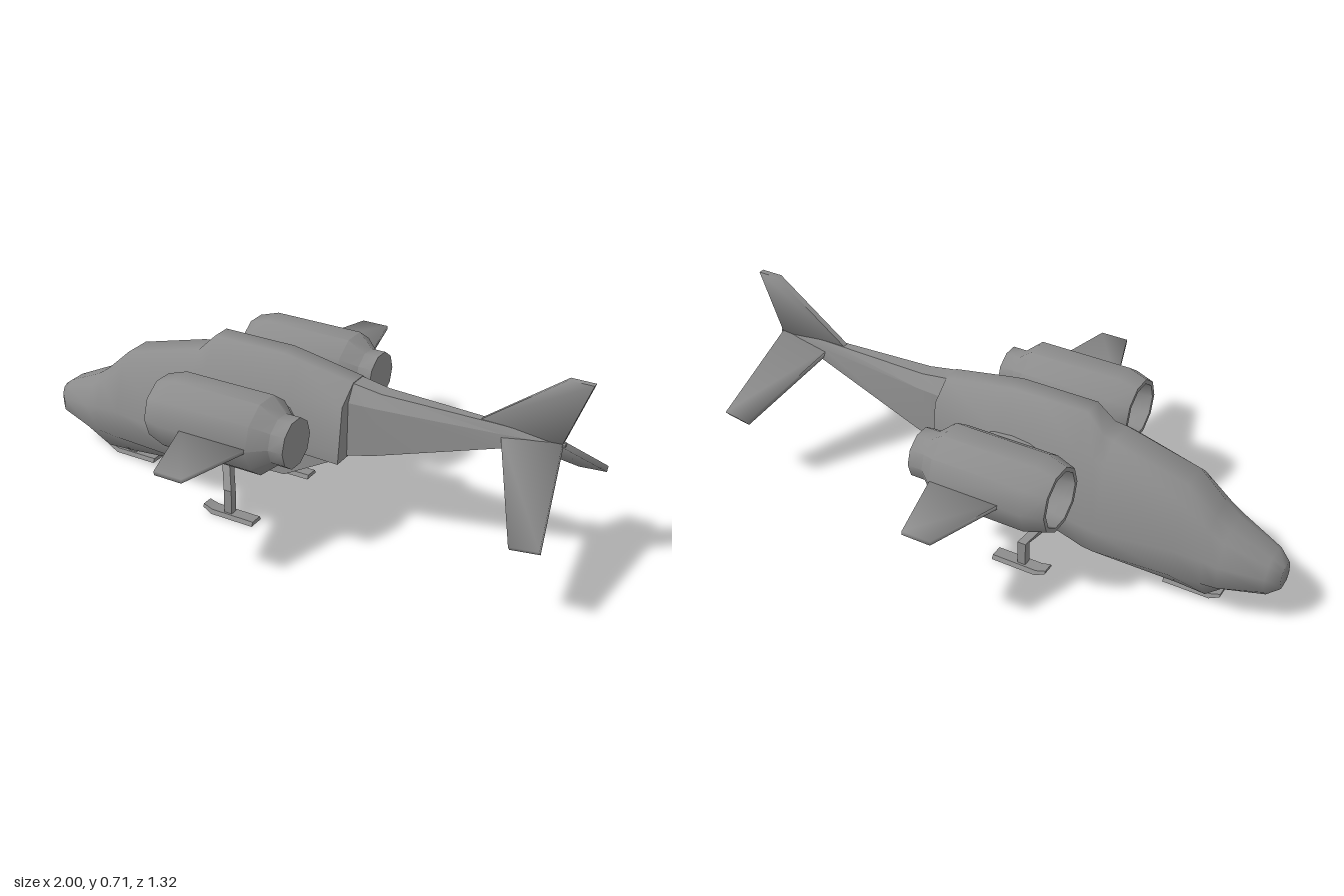
import * as THREE from 'three';
import { toCreasedNormals } from 'three/addons/utils/BufferGeometryUtils.js';

const grey = new THREE.MeshStandardMaterial({ color: 0x8c8c8c, side: THREE.DoubleSide });

// Closed skin through a row of equal-length point rings, capped at both ends
function loft(rings, crease = 0.6) {
  const n = rings[0].length, tri = [];
  const add = (a, b, c) => tri.push([a, b, c]);
  for (let i = 0; i < rings.length - 1; i++) {
    for (let j = 0; j < n; j++) {
      const k = (j + 1) % n, r = rings[i], s = rings[i + 1];
      add(r[j], r[k], s[k]);
      add(r[j], s[k], s[j]);
    }
  }
  const last = rings[rings.length - 1];
  for (let j = 1; j < n - 1; j++) {
    add(rings[0][0], rings[0][j + 1], rings[0][j]);
    add(last[0], last[j], last[j + 1]);
  }
  // turn the faces outward whichever way the rings run
  const v = (p) => new THREE.Vector3(...p);
  const volume = tri.reduce((sum, t) => sum + v(t[0]).dot(v(t[1]).cross(v(t[2]))), 0);
  const points = tri.flatMap(([a, b, c]) => (volume < 0 ? [a, c, b] : [a, b, c])).map(v);
  return toCreasedNormals(new THREE.BufferGeometry().setFromPoints(points), crease);
}

// Symmetric section at x from its half outline of [z, y], top to bottom
const section = ([x, ...half]) => [
  ...half.map(([z, y]) => [x, y, z]),
  ...half.slice().reverse().map(([z, y]) => [x, y, -z]),
];

// Slab section from leading edge to trailing edge, thickened both ways along t
function slab(lead, trail, t) {
  const shift = (p, s) => p.map((c, i) => c + s * t[i]);
  return [shift(lead, 1), shift(trail, 1), shift(trail, -1), shift(lead, -1)];
}

export function createModel() {
  const model = new THREE.Group();
  const add = (name, geometry, parent = model) => {
    const mesh = new THREE.Mesh(geometry, grey);
    mesh.name = name;
    parent.add(mesh);
    return mesh;
  };

  // Fuselage with its raised roof: nose to flat rear face
  add('fuselage', loft([
    [-1, [0.015, 0.22], [0.03, 0.21], [0.04, 0.19], [0.04, 0.16], [0.025, 0.14]],
    [-0.96, [0.03, 0.25], [0.055, 0.235], [0.08, 0.2], [0.08, 0.15], [0.045, 0.115]],
    [-0.82, [0.04, 0.315], [0.085, 0.29], [0.125, 0.22], [0.125, 0.14], [0.065, 0.09]],
    [-0.77, [0.045, 0.35], [0.09, 0.32], [0.13, 0.23], [0.13, 0.14], [0.07, 0.05]],
    [-0.67, [0.05, 0.44], [0.095, 0.4], [0.142, 0.24], [0.142, 0.14], [0.07, 0.056]],
    [-0.41, [0.05, 0.51], [0.11, 0.46], [0.17, 0.23], [0.17, 0.15], [0.07, 0.08]],
    [-0.37, [0.045, 0.518], [0.11, 0.465], [0.17, 0.235], [0.17, 0.155], [0.07, 0.09]],
    [-0.31, [0.035, 0.578], [0.11, 0.47], [0.17, 0.245], [0.17, 0.175], [0.07, 0.106]],
    [-0.14, [0.035, 0.578], [0.11, 0.47], [0.165, 0.28], [0.165, 0.22], [0.07, 0.15]],
    [-0.04, [0.035, 0.578], [0.11, 0.47], [0.15, 0.305], [0.148, 0.265], [0.07, 0.23]],
    [0.02, [0.035, 0.568], [0.11, 0.47], [0.14, 0.32], [0.137, 0.29], [0.07, 0.28]],
    [0.22, [0.032, 0.533], [0.105, 0.475], [0.125, 0.32], [0.13, 0.28], [0.07, 0.28]],
  ].map(section), 1.2));

  // Keel box under the rear fuselage
  add('keel', loft([
    [-0.2, [0.07, 0.4], [0.07, 0.14]],
    [-0.02, [0.07, 0.4], [0.07, 0.145]],
    [0.22, [0.07, 0.4], [0.07, 0.28]],
  ].map(section), 0.3));

  // Tail boom
  add('tailBoom', loft([
    [0.2, [0.032, 0.534], [0.066, 0.475], [0.07, 0.28]],
    [0.32, [0.027, 0.515], [0.06, 0.476], [0.064, 0.31]],
    [0.73, [0.011, 0.508], [0.022, 0.482], [0.026, 0.435]],
    [0.93, [0.005, 0.497], [0.008, 0.491], [0.006, 0.484]],
  ].map(section), 0.4));

  // Upright tail fin
  const finShape = new THREE.Shape([
    [0.65, 0.505], [0.73, 0.47], [0.92, 0.49], [1, 0.708], [0.92, 0.708],
  ].map((p) => new THREE.Vector2(...p)));
  const finGeometry = new THREE.ExtrudeGeometry(finShape, { depth: 0.02, bevelEnabled: false });
  add('tailFin', toCreasedNormals(finGeometry.translate(0, 0, -0.01), 1.8));

  // Nacelle shell: open intake at the front, closed nozzle at the rear
  const nacelleProfile = [
    [0, -0.27], [0.085, -0.27], [0.095, -0.35], [0.11, -0.35], [0.132, -0.28],
    [0.132, 0.05], [0.085, 0.105], [0.085, 0.157], [0, 0.157],
  ].map((p) => new THREE.Vector2(...p));
  const nacelleGeometry = toCreasedNormals(
    new THREE.LatheGeometry(nacelleProfile, 10).rotateZ(-Math.PI / 2), 0.75);

  // Skid with an upturned front tip
  const addFoot = (parent, x, z) => add('skid', loft([
    [x - 0.1, [0.02, 0.025], [0.024, 0.015]],
    [x - 0.065, [0.022, 0.014], [0.03, 0]],
    [x + 0.1, [0.022, 0.014], [0.03, 0]],
  ].map(section), 0.6), parent).position.set(0, 0, z);

  // Nose gear
  const noseGear = new THREE.Group();
  noseGear.name = 'noseGear';
  model.add(noseGear);
  add('noseStrut', new THREE.BoxGeometry(0.035, 0.08, 0.03).translate(-0.71, 0.05, 0), noseGear);
  addFoot(noseGear, -0.705, 0);

  for (const s of [1, -1]) {
    const side = new THREE.Group();
    side.name = s > 0 ? 'leftSide' : 'rightSide';
    model.add(side);

    add('nacelle', nacelleGeometry, side).position.set(0, 0.412, s * 0.283);
    const pylon = add('pylon', new THREE.CylinderGeometry(1, 1, 0.12, 12).rotateX(Math.PI / 2), side);
    pylon.scale.set(0.13, 0.045, 1);
    pylon.position.set(-0.08, 0.41, s * 0.14);

    // Stub wing outside the nacelle
    add('stubWing', loft([
      slab([-0.21, 0.412, s * 0.38], [0.055, 0.412, s * 0.38], [0, 0.007, 0]),
      slab([-0.115, 0.412, s * 0.66], [-0.015, 0.412, s * 0.66], [0, 0.007, 0]),
    ], 1.8), side);

    // Downswept tailplane
    add('tailplane', loft([
      slab([0.72, 0.475, 0], [0.92, 0.49, 0], [0, 0.008, s * 0.006]),
      slab([0.885, 0.272, s * 0.293], [0.98, 0.282, s * 0.288], [0, 0.008, s * 0.006]),
    ], 1.8), side);

    // Cranked main gear leg
    const mainGear = new THREE.Group();
    mainGear.name = 'mainGear';
    side.add(mainGear);
    const legRing = (x, y, z, dy) => [[-1, -1], [1, -1], [1, 1], [-1, 1]]
      .map(([a, b]) => [x + a * 0.015, y + b * dy, z + s * b * 0.014]);
    add('mainLeg', loft([
      legRing(-0.165, 0.01, s * 0.185, 0),
      legRing(-0.165, 0.095, s * 0.185, 0.006),
      legRing(-0.22, 0.16, s * 0.11, 0.014),
    ], 0.6), mainGear);
    addFoot(mainGear, -0.16, s * 0.185);
  }
  return model;
}
